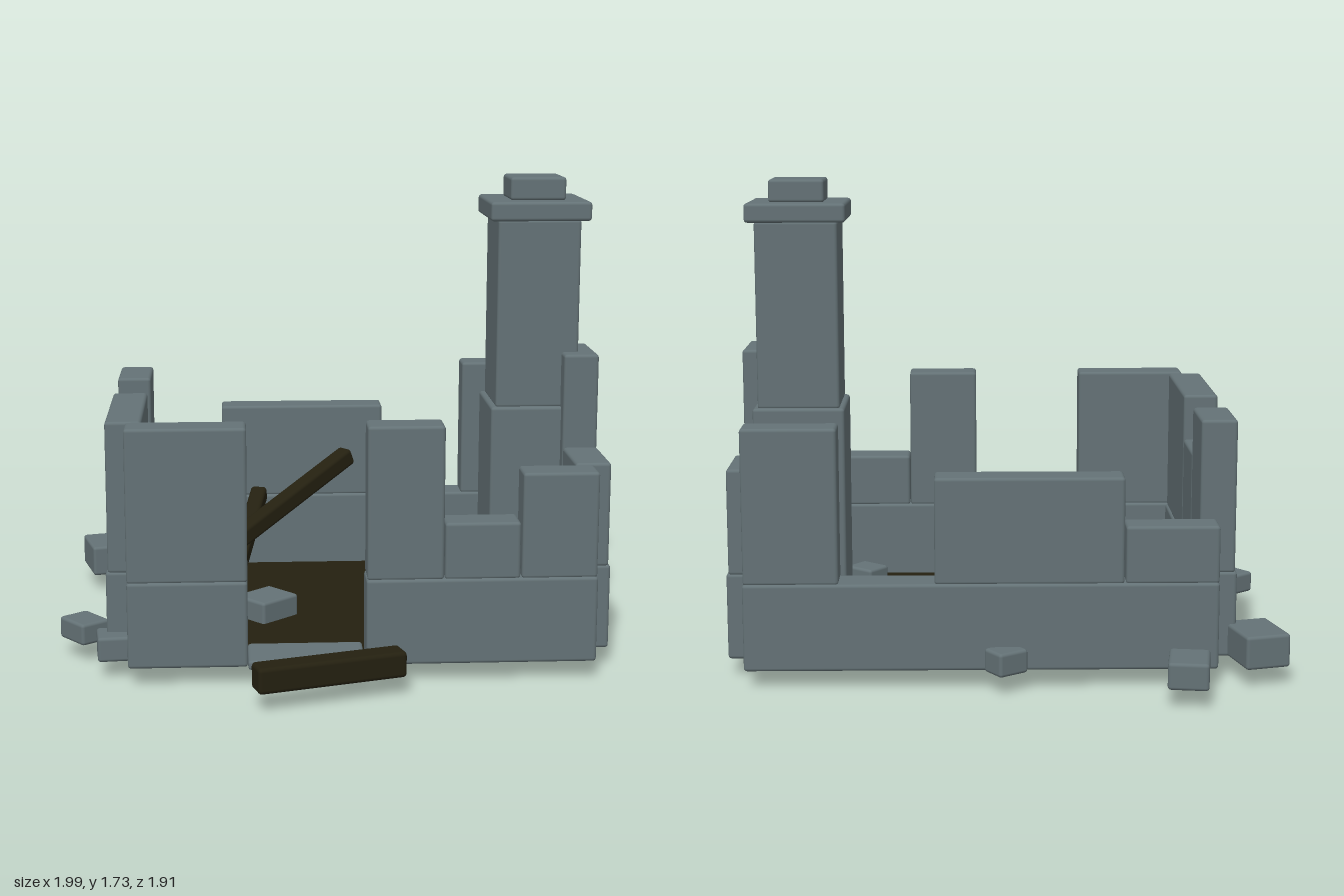
import * as THREE from 'three';
import { RoundedBoxGeometry } from 'three/addons/geometries/RoundedBoxGeometry.js';

const stone = new THREE.MeshStandardMaterial({ color: 0x647276 });
stone.name = 'weatheredStone';
const wood = new THREE.MeshStandardMaterial({ color: 0x242010 });
wood.name = 'charredWood';

// Softly bevelled block centred on its own origin
function block(name, mat, w, h, d, r = 0.012) {
  const mesh = new THREE.Mesh(new RoundedBoxGeometry(w, h, d, 2, Math.min(r, w / 3, h / 3, d / 3)), mat);
  mesh.name = name;
  return mesh;
}

// Block given by its limits along x, y and z
function span(name, mat, [x0, x1], [y0, y1], [z0, z1]) {
  const mesh = block(name, mat, x1 - x0, y1 - y0, z1 - z0);
  mesh.position.set((x0 + x1) / 2, (y0 + y1) / 2, (z0 + z1) / 2);
  return mesh;
}

// Square timber between two points
function beam(name, from, to, size) {
  const a = new THREE.Vector3(...from), b = new THREE.Vector3(...to);
  const mesh = block(name, wood, size, size, a.distanceTo(b), 0.015);
  mesh.position.copy(a).add(b).multiplyScalar(0.5);
  mesh.lookAt(b);
  return mesh;
}

export function createModel() {
  const model = new THREE.Group();
  model.name = 'ruinedHouse';
  const GROUND = 0.08, BASE = 0.39;

  // Burnt floor and doorstep
  const floor = new THREE.Mesh(new THREE.BoxGeometry(1.54, 0.02, 1.12), wood);
  floor.name = 'floor';
  floor.position.set(0.09, 0.09, -0.03);
  model.add(floor);
  model.add(span('doorstep', stone, [-0.31, 0.1], [GROUND, 0.115], [0.5, 0.7]));

  // Walls: footing runs, then broken upper blocks as [start, end, top]
  const walls = [
    { name: 'frontWall', along: 'x', depth: [0.525, 0.665],
      footing: [[-0.73, -0.31], [0.105, 0.92]],
      upper: [[-0.73, -0.31, 0.935], [0.108, 0.377, 0.935], [0.38, 0.645, 0.59], [0.65, 0.918, 0.765]] },
    { name: 'backWall', along: 'x', depth: [-0.72, -0.585],
      footing: [[-0.73, 0.92]],
      upper: [[-0.73, -0.405, 0.59], [-0.4, 0.257, 0.762], [0.588, 0.918, 0.935]] },
    { name: 'rightWall', along: 'z', depth: [0.85, 0.992],
      footing: [[-0.572, 0.52]],
      upper: [[0.25, 0.518, 0.765], [-0.022, 0.245, 1.108], [-0.297, -0.027, 0.59], [-0.57, -0.302, 0.765]] },
    { name: 'leftWall', along: 'z', depth: [-0.81, -0.668],
      footing: [[-0.572, 0.52]],
      upper: [[-0.025, 0.518, 0.932], [-0.3, -0.03, 0.765], [-0.57, -0.305, 0.935]] },
  ];
  for (const { name, along, depth, footing, upper } of walls) {
    const wall = new THREE.Group();
    wall.name = name;
    const put = (part, run, ys, d) => wall.add(
      along === 'x' ? span(part, stone, run, ys, d) : span(part, stone, d, ys, run));
    footing.forEach(run => put('footing', run, [GROUND, BASE], depth));
    const inset = [depth[0] + 0.007, depth[1] - 0.007];
    upper.forEach(([a, b, top]) => put('brokenBlock', [a, b], [BASE - 0.005, top], inset));
    model.add(wall);
  }

  // Chimney as stacked blocks [half width, bottom, top]
  const chimney = new THREE.Group();
  chimney.name = 'chimney';
  const tiers = { hearth: [0.17, 0.085, 0.905], shaft: [0.152, 0.9, 1.595],
    cap: [0.184, 1.592, 1.662], crown: [0.102, 1.66, 1.745] };
  for (const [name, [h, y0, y1]] of Object.entries(tiers)) {
    chimney.add(span(name, stone, [0.768 - h, 0.768 + h], [y0, y1], [0.026 - h, 0.026 + h]));
  }
  model.add(chimney);

  // Fallen timbers
  model.add(
    beam('outerBeam', [-0.29, 0.127, 0.912], [0.225, 0.127, 0.755], 0.093),
    beam('longRoofBeam', [-0.52, 0.21, -0.05], [0.115, 0.565, -0.55], 0.07),
    beam('leaningBeam', [-0.39, 0.1, 0.03], [-0.247, 0.4, -0.6], 0.065),
    beam('sunkenBeam', [0.07, 0.04, -0.14], [0.69, 0.22, -0.405], 0.062),
    beam('hearthStub', [0.51, 0.1, 0.02], [0.72, 0.14, 0.02], 0.04),
  );

  // Scattered rubble: x, z, width, depth, bottom, top, turn
  const rubble = [
    [-0.61, -0.865, 0.14, 0.18, 0.08, 0.175, -0.14],
    [-0.877, -0.613, 0.165, 0.22, 0.08, 0.2, 0.26],
    [0.01, -0.735, 0.12, 0.1, 0.08, 0.165, 0.6],
    [-0.68, -0.425, 0.24, 0.18, 0.085, 0.2, 0.68],
    [-0.235, 0.125, 0.16, 0.18, 0.085, 0.18, -0.83],
    [0.55, 0.38, 0.13, 0.11, 0.085, 0.17, -0.68],
    [-0.905, 0.313, 0.15, 0.12, 0.08, 0.16, -0.9],
    [-0.775, 0.52, 0.14, 0.13, 0.08, 0.17, 0.1],
  ];
  for (const [x, z, w, d, y0, y1, turn] of rubble) {
    const rock = block('rubble', stone, w, y1 - y0, d);
    rock.position.set(x, (y0 + y1) / 2, z);
    rock.rotation.y = turn;
    model.add(rock);
  }
  return model;
}
